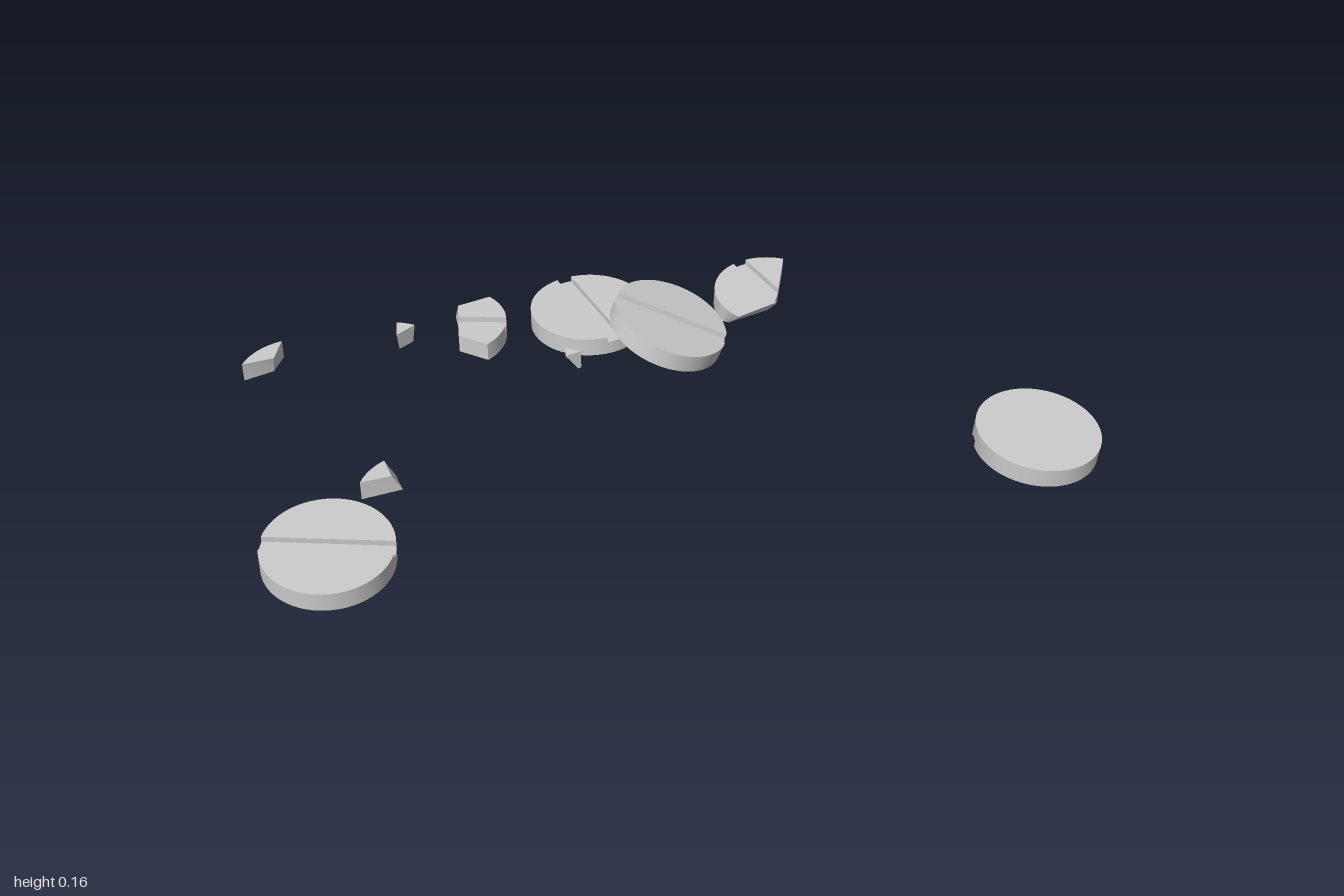
import * as THREE from 'three';
import { mergeGeometries, toCreasedNormals } from 'three/addons/utils/BufferGeometryUtils.js';

const R = 0.153, HALF = 0.025;            // tablet radius and half thickness
const GROOVE = 0.02, DEPTH = 0.015;       // score line half width and depth
const rad = THREE.MathUtils.degToRad;
const same = (x, z) => [x, z];

// points [x, z] along the tablet rim, angles in degrees
function arc(from, to, n) {
  return Array.from({ length: n + 1 }, (_, i) => {
    const a = rad(from + (to - from) * i / n);
    return [R * Math.cos(a), R * Math.sin(a)];
  });
}

// keep the part of a convex outline where dist(point) >= 0
function clip(points, dist) {
  const out = [];
  points.forEach((p, i) => {
    const q = points[(i + 1) % points.length], a = dist(p), b = dist(q);
    if (a >= 0) out.push(p);
    if ((a > 0 && b < 0) || (a < 0 && b > 0)) {
      const t = a / (a - b);
      out.push([p[0] + (q[0] - p[0]) * t, p[1] + (q[1] - p[1]) * t]);
    }
  });
  return out;
}

// solid between two heights; slant says where the outline lies at the underside
function prism(points, y0, y1, slant) {
  const ring = (y) => points.map(([x, z]) => {
    const [sx, sz] = slant(x, z), t = (y + HALF) / (2 * HALF);
    return [sx + (x - sx) * t, y, sz + (z - sz) * t];
  });
  const lo = ring(y0), hi = ring(y1), n = points.length, pos = [];
  const tri = (a, b, c) => pos.push(...a, ...b, ...c);
  for (let i = 0; i < n; i++) {
    const j = (i + 1) % n;
    tri(lo[i], hi[i], hi[j]);
    tri(lo[i], hi[j], lo[j]);
    if (i > 0 && j > 0) {
      tri(hi[0], hi[j], hi[i]);
      tri(lo[0], lo[i], lo[j]);
    }
  }
  const g = new THREE.BufferGeometry();
  g.setAttribute('position', new THREE.Float32BufferAttribute(pos, 3));
  return toCreasedNormals(g, 0.5);
}

// a flat piece, split into three strips when it carries a score line
function pieceGeometry({ outline, groove, under = false, slant = same }) {
  if (groove === undefined) return prism(outline, -HALF, HALF, slant);
  const s = Math.sin(rad(groove)), c = Math.cos(rad(groove));
  const d = ([x, z]) => z * c - x * s;
  const sideA = clip(outline, (p) => d(p) - GROOVE);
  const sideB = clip(outline, (p) => -d(p) - GROOVE);
  const middle = clip(clip(outline, (p) => d(p) + GROOVE), (p) => GROOVE - d(p));
  return mergeGeometries([
    prism(sideA, -HALF, HALF, slant),
    prism(sideB, -HALF, HALF, slant),
    prism(middle, under ? -HALF + DEPTH : -HALF, under ? HALF : HALF - DEPTH, slant),
  ]);
}

export function createModel() {
  const model = new THREE.Group();
  const material = new THREE.MeshStandardMaterial({ color: 0xcccccc });
  const disc = arc(0, 360, 72).slice(0, -1);
  const clamp = THREE.MathUtils.clamp;

  const pieces = [
    // whole tablets
    { name: 'leftLyingTablet', at: [-0.845, 0.058, 0.14], up: [0, 1, 0.06], outline: disc, groove: 28 },
    { name: 'backTablet', at: [0.087, 0.066, -0.44], outline: disc, groove: 90 },
    { name: 'leaningTablet', at: [0.235, 0.089, -0.27], up: [0.31, 1, 0.2], outline: disc, groove: 35 },
    { name: 'overturnedTablet', at: [0.845, 0.039, 0.5], up: [0.02, 1, 0.075], outline: disc, groove: 29, under: true },
    // large scored fragments
    { name: 'wedgeFragment', at: [0.572, 0.045, -0.315], up: [0, 1, 0.06], groove: 85,
      outline: [...arc(154.5, 312.7, 30), [-0.016, 0.053]],
      slant: (x, z) => [x, z > 0 ? z * 0.3 : z] },
    { name: 'scoredFragment', at: [-0.27, 0.065, -0.548], groove: 29,
      outline: [...arc(-21, 70.6, 18), [0, 0.075], [0.052, -0.053]],
      slant: (x, z) => [x, z < -0.03 ? z - (-0.03 - z) : z] },
    // small chips
    { name: 'rimChip', at: [-0.69, 0.063, -0.507],
      outline: [...arc(220.5, 272.4, 10), [-0.036, -0.089]],
      slant: (x, z) => [x, z > -0.095 ? z - 0.015 : z] },
    { name: 'smallRimChip', at: [-0.47, 0.065, -0.471],
      outline: [...arc(-58.8, -40.2, 4), [0.058, -0.077]],
      slant: (x, z) => [0.085 + (x - 0.085) * 0.75, -0.1 + (z + 0.1) * 0.75] },
    { name: 'crumb', at: [-0.05, 0.065, -0.275],
      outline: [[-0.014, 0.01], [0.002, -0.022], [0.03, 0.01]],
      slant: (x, z) => [0.03 + (x - 0.03) * 0.2, z] },
    { name: 'slantedRimChip', at: [-0.587, 0.065, 0.072],
      outline: [...arc(219, 255, 8), [-0.044, -0.086]],
      slant: (x, z) => [x + 0.024 * clamp((x + 0.119) / 0.075, 0, 1), z] },
  ];

  for (const piece of pieces) {
    const mesh = new THREE.Mesh(pieceGeometry(piece), material);
    mesh.name = piece.name;
    mesh.position.set(...piece.at);
    if (piece.up) {
      const normal = new THREE.Vector3(...piece.up).normalize();
      mesh.quaternion.setFromUnitVectors(new THREE.Vector3(0, 1, 0), normal);
    }
    model.add(mesh);
  }
  return model;
}
